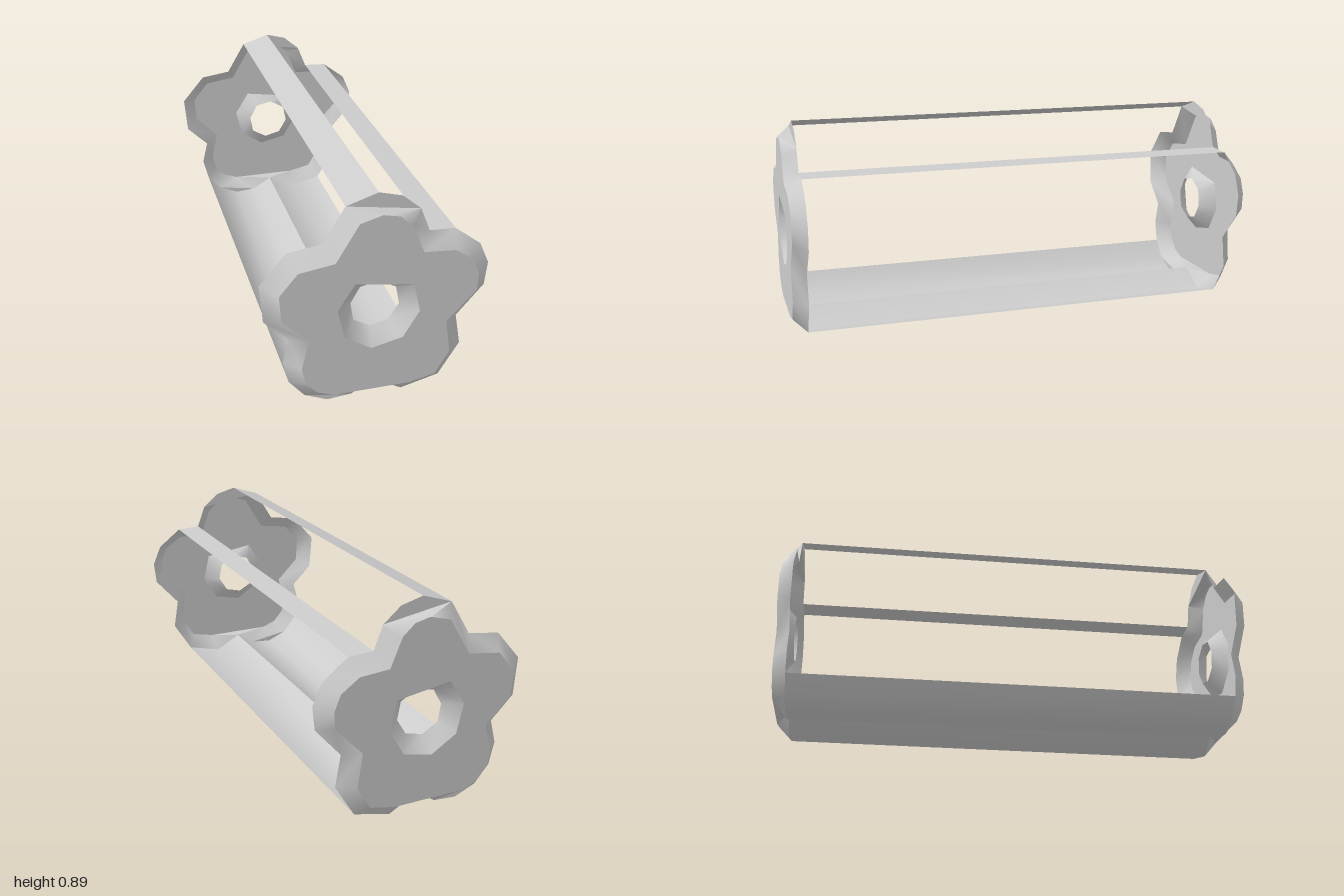
import * as THREE from 'three';
import { toCreasedNormals } from 'three/addons/utils/BufferGeometryUtils.js';

const END = 1, RIM = 0.942;

// Flower outline at the rim, clockwise from the top
const outer = [
  [0, 0.888], [0.092, 0.864], [0.165, 0.802], [0.203, 0.705], [0.307, 0.7], [0.412, 0.62],
  [0.45, 0.532], [0.44, 0.435], [0.332, 0.31], [0.355, 0.177], [0.272, 0.04], [0.116, 0],
  [-0.002, 0.066], [-0.09, 0.01], [-0.188, 0.001], [-0.28, 0.04], [-0.342, 0.114], [-0.365, 0.208],
  [-0.34, 0.31], [-0.437, 0.404], [-0.45, 0.563], [-0.345, 0.685], [-0.21, 0.705], [-0.125, 0.847],
];
// Smaller outline of the end face; the bottom notch is bridged by repeating a point
const inner = [
  [0, 0.825], [0.065, 0.811], [0.116, 0.765], [0.164, 0.649], [0.289, 0.64], [0.364, 0.587],
  [0.39, 0.522], [0.386, 0.452], [0.27, 0.329], [0.29, 0.187], [0.234, 0.09], [0.128, 0.066],
  [-0.178, 0.064], [-0.178, 0.064], [-0.178, 0.064], [-0.243, 0.088], [-0.29, 0.141], [-0.304, 0.208],
  [-0.275, 0.329], [-0.38, 0.432], [-0.388, 0.541], [-0.316, 0.628], [-0.176, 0.649], [-0.087, 0.8],
];
// Centre hole: wide at the end face, narrow at the rim
const holeWide = [
  [-0.1, 0.55], [0.13, 0.517], [0.13, 0.517], [0.159, 0.394],
  [0.094, 0.286], [-0.03, 0.257], [-0.137, 0.322], [-0.166, 0.445],
];
const holeNarrow = [
  [-0.063, 0.5], [0.012, 0.517], [0.08, 0.478], [0.094, 0.404],
  [0.055, 0.339], [-0.02, 0.32], [-0.087, 0.358], [-0.1, 0.433],
];

// Triangles from corner triples, skipping collapsed ones
function surface(triangles, crease) {
  const pos = [];
  for (const t of triangles) {
    const [a, b, c] = t.map((p) => new THREE.Vector3(...p));
    if (new THREE.Triangle(a, b, c).getArea() > 1e-7) pos.push(...t.flat());
  }
  const geo = new THREE.BufferGeometry();
  geo.setAttribute('position', new THREE.Float32BufferAttribute(pos, 3));
  geo.computeVertexNormals();
  return toCreasedNormals(geo, crease);
}

const quad = (a, b, c, d) => [[a, b, c], [a, c, d]];

// Closed band between two clockwise loops, facing outwards for side = 1
function band(near, zNear, far, zFar, side) {
  const tris = near.flatMap((p, i) => {
    const j = (i + 1) % near.length;
    return quad([...p, zNear], [...far[i], zFar], [...far[j], zFar], [...near[j], zNear]);
  });
  return surface(side > 0 ? tris.map(([a, b, c]) => [a, c, b]) : tris, 0.8);
}

const toVectors = (pts) => pts
  .filter((p, i) => i === 0 || p[0] !== pts[i - 1][0] || p[1] !== pts[i - 1][1])
  .map(([x, y]) => new THREE.Vector2(x, y));

export function createModel() {
  const model = new THREE.Group();
  const grey = new THREE.MeshStandardMaterial({ color: 0xcccccc, side: THREE.DoubleSide });
  grey.name = 'lightGrey';
  const add = (parent, name, geo) => {
    const mesh = new THREE.Mesh(geo, grey);
    mesh.name = name;
    parent.add(mesh);
    return mesh;
  };

  // The bevel cuts straight across the top petal and the lower left petal
  const cut = outer.slice();
  cut[0] = outer[23];
  cut[1] = outer[2];
  cut[14] = outer[13];

  const faceShape = new THREE.Shape(toVectors(inner));
  faceShape.holes.push(new THREE.Path(toVectors(holeWide)));

  for (const side of [1, -1]) {
    const cap = new THREE.Group();
    cap.name = side > 0 ? 'frontFlowerCap' : 'backFlowerCap';
    model.add(cap);

    // End face with its hole
    const face = add(cap, 'flowerFace', new THREE.ShapeGeometry(faceShape));
    face.position.z = side * END;
    if (side < 0) {
      const idx = face.geometry.index;
      for (let i = 0; i < idx.count; i += 3) {
        const b = idx.getX(i + 1);
        idx.setX(i + 1, idx.getX(i + 2));
        idx.setX(i + 2, b);
      }
      face.geometry.computeVertexNormals();
    }

    // Sloping edges
    add(cap, 'petalBevel', band(inner, side * END, cut, side * RIM, -side));
    add(cap, 'holeBevel', band(holeWide, side * END, holeNarrow, side * RIM, side));

    // Flat tips left beside the straight cuts
    const at = (i) => [...outer[i], side * RIM];
    const tips = [[at(23), at(1), at(0)], [at(23), at(2), at(1)], [at(13), at(15), at(14)]];
    add(cap, 'petalTips', surface(side > 0 ? tips.map(([a, b, c]) => [a, b, c]) : tips.map(([a, b, c]) => [a, c, b]), 0.1));
  }

  // Long strips joining the two caps, each a run of outline points
  const strips = { topStrip: [23, 0], rightStrip: [3, 4], lowerStrips: [10, 11, 12, 13, 14, 15, 16] };
  for (const [name, run] of Object.entries(strips)) {
    const tris = run.slice(1).flatMap((j, k) => {
      const p = outer[run[k]], q = outer[j];
      return quad([...p, -RIM], [...p, RIM], [...q, RIM], [...q, -RIM]);
    });
    add(model, name, surface(tris, 0.8));
  }
  return model;
}
